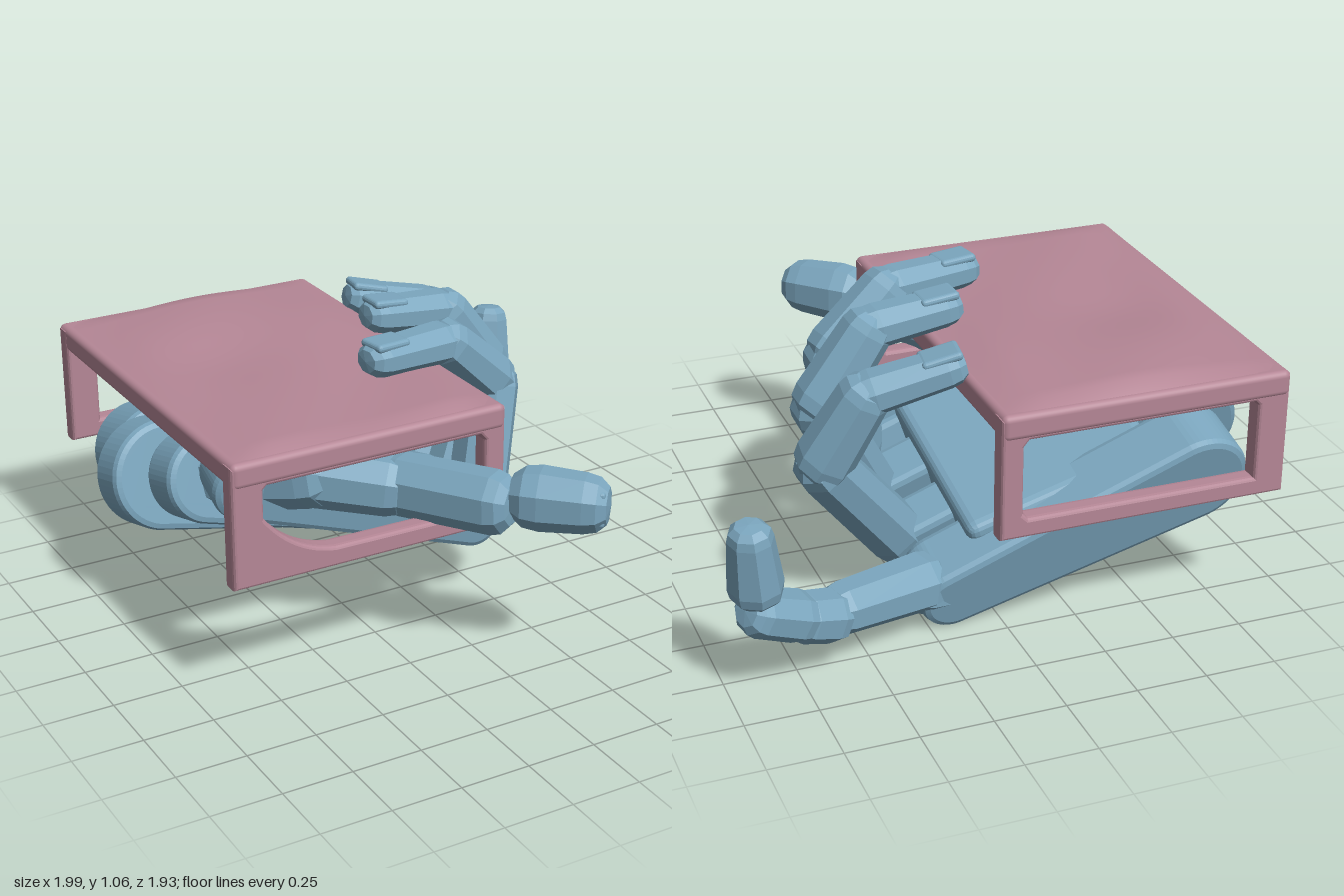
import * as THREE from 'three';
import { RoundedBoxGeometry } from 'three/addons/geometries/RoundedBoxGeometry.js';

const blue = new THREE.MeshStandardMaterial({ color: 0x7ba6be, flatShading: true });
const pink = new THREE.MeshStandardMaterial({ color: 0xb58796 });
const V = (a) => new THREE.Vector3(...a);

function add(parent, name, geometry, material) {
  const mesh = new THREE.Mesh(geometry, material);
  mesh.name = name;
  parent.add(mesh);
  return mesh;
}

// Place an object at p with its y axis along p -> q and its x axis near side
function align(obj, p, q, side) {
  const y = q.clone().sub(p).normalize();
  const x = side.clone().addScaledVector(y, -side.dot(y)).normalize();
  const z = new THREE.Vector3().crossVectors(x, y);
  obj.quaternion.setFromRotationMatrix(new THREE.Matrix4().makeBasis(x, y, z));
  obj.position.copy(p);
}

// Chamfered finger bone: squarish barrel with blunt ends, w wide and d deep
function bone(parent, name, p0, p1, w, d, taper = 0.95, cap = 0.05, side = [0, 0, 1]) {
  const p = V(p0), q = V(p1), L = p.distanceTo(q);
  const pts = [[0, -cap], [0.65, -cap * 0.9], [0.93, -cap * 0.3], [1, cap * 0.5],
    [taper, L - cap * 0.2], [0.9 * taper, L + cap * 0.45], [0.62 * taper, L + cap * 0.9], [0, L + cap]]
    .map(([x, y]) => new THREE.Vector2(x, y));
  const geo = new THREE.LatheGeometry(pts, 8, Math.PI / 8);
  const k = 0.5 / Math.cos(Math.PI / 8);
  geo.scale(w * k, 1, d * k);
  align(add(parent, name, geo, blue), p, q, V(side));
}

// Long palm plate with round ends, standing on edge, its face tilted by lean
function palmPlate(parent, p0, r0, p1, r1, thick, lean) {
  const p = V(p0), q = V(p1), L = p.distanceTo(q);
  const s = new THREE.Shape();
  s.absarc(0, 0, r0, Math.PI, Math.PI * 2, false);
  s.lineTo(r1, L);
  s.absarc(0, L, r1, 0, Math.PI, false);
  s.closePath();
  const b = 0.025;
  const geo = new THREE.ExtrudeGeometry(s, { depth: thick - 2 * b, bevelThickness: b,
    bevelSize: b, bevelOffset: -b, bevelSegments: 2, curveSegments: 14 });
  geo.translate(0, 0, -thick / 2 + b);
  geo.rotateY(Math.PI / 2);
  align(add(parent, 'palmPlate', geo, blue), p, q, new THREE.Vector3(0, lean, 1));
}

// Rounded block centred on p0, used for the palm, nails and knuckle pads
function block(parent, name, p0, p1, side, size, radius = 0.014) {
  const mesh = add(parent, name, new RoundedBoxGeometry(...size, 2, radius), blue);
  align(mesh, V(p0), V(p1), V(side));
}

// Frame loop below one end of the tray
function endFrame(parent, name, z, gusset) {
  const s = new THREE.Shape();
  s.moveTo(-0.9, 0.46).lineTo(0.1, 0.46).lineTo(0.1, 0.87).lineTo(-0.9, 0.87).closePath();
  const h = new THREE.Path();
  h.moveTo(-0.79, 0.81).lineTo(0.02, 0.81).lineTo(0.045, 0.78).lineTo(0.045, 0.53).lineTo(0.02, 0.505);
  if (gusset) h.lineTo(-0.54, 0.51).quadraticCurveTo(-0.7, 0.53, -0.81, 0.68);
  else h.lineTo(-0.81, 0.505);
  h.lineTo(-0.81, 0.79).closePath();
  s.holes.push(h);
  const geo = new THREE.ExtrudeGeometry(s, { depth: 0.036, bevelThickness: 0.02, bevelSize: 0.012,
    bevelSegments: 3 });
  add(parent, name, geo, pink).position.z = z;
}

export function createModel() {
  const model = new THREE.Group();
  model.name = 'handHoldingTray';

  // Tray top with a slightly warped surface
  const tray = new THREE.Group();
  tray.name = 'tray';
  model.add(tray);
  const top = new RoundedBoxGeometry(1.02, 0.09, 1.47, 3, 0.022);
  top.translate(-0.4, 0.85, -0.215);
  add(tray, 'trayTop', top, pink);
  const skin = new THREE.PlaneGeometry(0.98, 1.43, 20, 28).rotateX(-Math.PI / 2);
  const pos = skin.attributes.position;
  for (let i = 0; i < pos.count; i++) {
    const x = pos.getX(i), z = pos.getZ(i);
    const edge = Math.min(1, 8 * (0.49 - Math.abs(x))) * Math.min(1, 20 * (0.715 - Math.abs(z)));
    const bump = 0.012 + 0.022 * Math.exp(-((x - 0.05) ** 2 + (z + 0.45) ** 2) * 7)
      - 0.01 * Math.exp(-((x + 0.2) ** 2 + (z + 0.1) ** 2) * 25) + 0.004 * Math.sin(9 * x + 7 * z);
    pos.setY(i, Math.max(0, edge) * bump);
  }
  skin.computeVertexNormals();
  add(tray, 'warpedSurface', skin, pink).position.set(-0.4, 0.894, -0.215);
  endFrame(tray, 'frontFrame', 0.46, true);
  endFrame(tray, 'backFrame', -0.925, false);

  const hand = new THREE.Group();
  hand.name = 'hand';
  model.add(hand);

  // Four palm plates from knuckle to wrist
  [
    [[0.2, 0.3, 0.13], 0.09, [-0.66, 0.62, 0.06], 0.13, 0.19, -0.2],
    [[0.21, 0.24, -0.11], 0.11, [-0.73, 0.56, -0.14], 0.16, 0.19, 0.27],
    [[0.2, 0.18, -0.35], 0.11, [-0.79, 0.49, -0.38], 0.2, 0.18, 0.27],
    [[0.17, 0.13, -0.59], 0.12, [-0.7, 0.45, -0.65], 0.18, 0.23, 0.27],
  ].forEach((a) => palmPlate(hand, ...a));

  // Palm body closing the gaps between the plates, and thumb mound
  block(hand, 'palmBody', [-0.26, 0.41, -0.27], [-0.9, 0.61, -0.3], [0, 0.27, 1], [0.76, 0.72, 0.27], 0.04);
  bone(hand, 'thumbMound', [-0.64, 0.58, -0.12], [-0.45, 0.64, 0.2], 0.28, 0.3, 0.8, 0.08, [0, 1, 0]);

  // Three curled fingers: knuckle, middle joint, end joint, tip
  [
    [[0.25, 0.32, 0.11], [0.37, 0.75, 0.01], [0.15, 0.955, 0.05], [-0.15, 0.965, 0.1]],
    [[0.27, 0.25, -0.12], [0.5, 0.69, -0.25], [0.32, 0.95, -0.25], [0.04, 0.98, -0.24]],
    [[0.26, 0.2, -0.35], [0.565, 0.59, -0.48], [0.43, 0.85, -0.54], [0.15, 0.92, -0.58]],
  ].forEach(([k, m, e, t]) => {
    const finger = new THREE.Group();
    finger.name = 'curledFinger';
    hand.add(finger);
    bone(finger, 'knuckle', [k[0] - 0.03, k[1] - 0.07, k[2] + 0.01], [k[0], k[1] + 0.05, k[2]], 0.18, 0.16);
    bone(finger, 'lowerBone', k, m, 0.22, 0.2, 0.95, 0.065);
    bone(finger, 'middleBone', m, e, 0.21, 0.19, 0.88, 0.055);
    bone(finger, 'fingertip', e, t, 0.17, 0.14, 0.88, 0.055);
    const at = (s) => [0, 1, 2].map((i) => t[i] + s * (e[i] - t[i]) + (i === 1 ? 0.052 : 0));
    block(finger, 'fingernail', at(0.12), at(1), [0, 0, 1], [0.11, 0.14, 0.03]);
    block(finger, 'knucklePad', [k[0] + 0.085, k[1] + 0.01, k[2]], [m[0] + 0.085, m[1], m[2]],
      [0, 0, 1], [0.11, 0.15, 0.04]);
  });

  // Outstretched finger with an upturned tip
  const open = new THREE.Group();
  open.name = 'outstretchedFinger';
  hand.add(open);
  bone(open, 'knuckle', [0.18, 0.13, -0.6], [0.28, 0.14, -0.63], 0.19, 0.18);
  bone(open, 'lowerBone', [0.25, 0.16, -0.62], [0.6, 0.19, -0.745], 0.2, 0.19, 0.88, 0.05);
  bone(open, 'middleBone', [0.62, 0.18, -0.76], [0.74, 0.22, -0.8], 0.18, 0.17, 0.95, 0.04);
  bone(open, 'upperBone', [0.75, 0.23, -0.805], [0.91, 0.31, -0.86], 0.18, 0.16, 0.95, 0.045);
  bone(open, 'fingertip', [0.905, 0.39, -0.86], [0.925, 0.6, -0.885], 0.18, 0.17, 0.82, 0.045, [0.3, 0, 1]);

  // Thumb reaching forward through the front frame
  const thumb = new THREE.Group();
  thumb.name = 'thumb';
  hand.add(thumb);
  const up = [0, 1, 0];
  bone(thumb, 'lowerBone', [-0.49, 0.64, 0.16], [-0.24, 0.61, 0.36], 0.22, 0.21, 0.92, 0.06, up);
  bone(thumb, 'middleBone', [-0.22, 0.61, 0.34], [-0.02, 0.625, 0.68], 0.21, 0.19, 1, 0.06, up);
  bone(thumb, 'thumbTip', [0.07, 0.65, 0.74], [0.21, 0.65, 0.88], 0.21, 0.19, 0.92, 0.07, up);
  block(thumb, 'thumbnail', [0.18, 0.65, 0.9], [0.28, 0.65, 1.0], up, [0.13, 0.13, 0.03]);

  return model;
}
